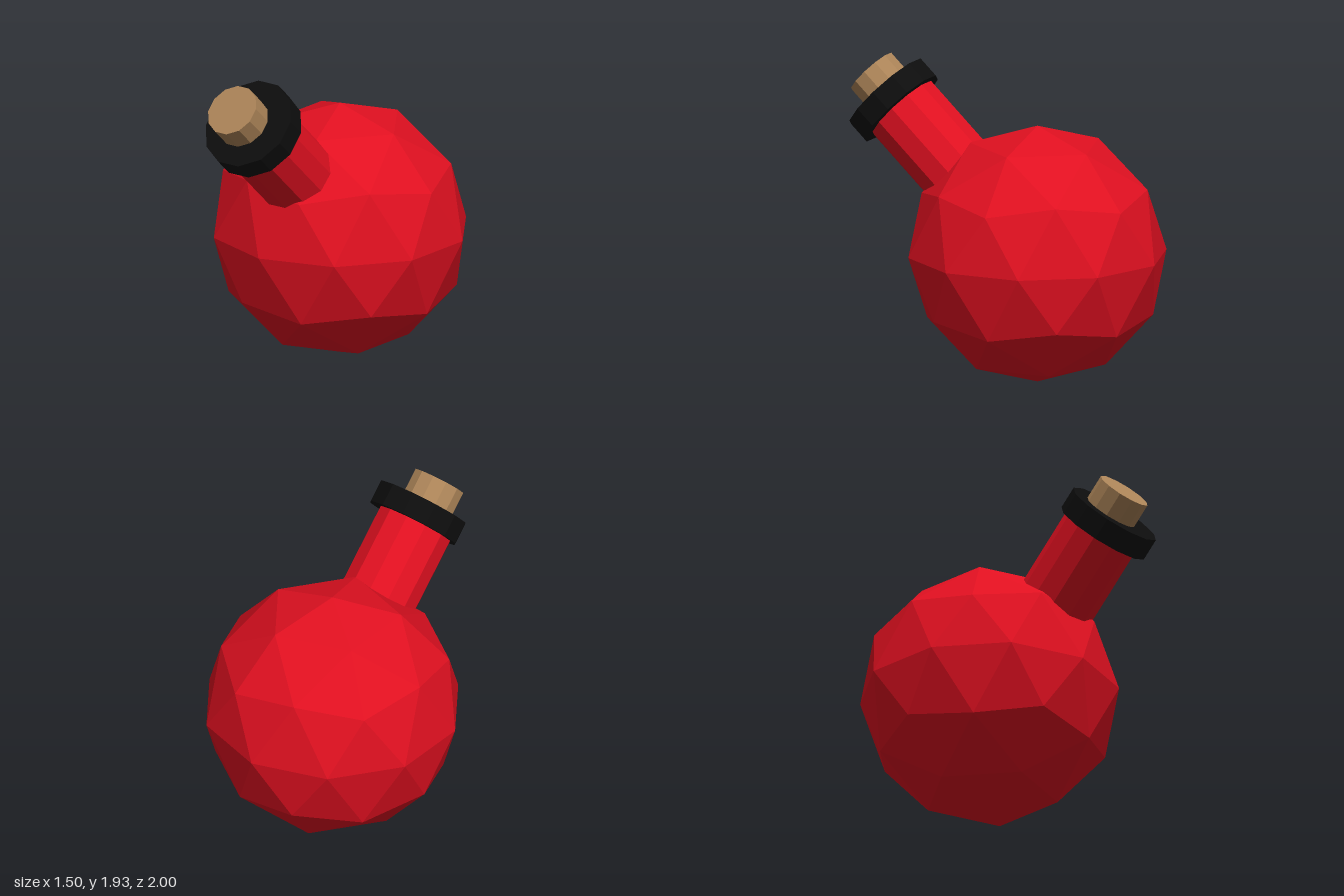
import * as THREE from 'three';

const material = (color) => new THREE.MeshStandardMaterial({ color, flatShading: true });

export function createModel() {
  const model = new THREE.Group();
  model.name = 'roundFlask';
  const glass = material(0xe01020);
  const radius = 0.79;

  // Faceted round body, turned so that one corner points straight up
  const bodyGeometry = new THREE.IcosahedronGeometry(radius, 1);
  bodyGeometry.rotateZ(-Math.atan(2 / (1 + Math.sqrt(5))));
  const body = new THREE.Mesh(bodyGeometry, glass);
  body.name = 'body';
  body.position.set(0, radius, -0.21);
  model.add(body);

  // Neck assembly leans forward, radiating from the body's centre
  const spout = new THREE.Group();
  spout.name = 'spout';
  spout.position.copy(body.position);
  spout.rotation.x = THREE.MathUtils.degToRad(46.9);
  model.add(spout);

  // Twelve-sided drum between two distances along the neck; flats face the sides
  const addDrum = (name, halfWidth, from, to, x, mat) => {
    const r = halfWidth / Math.cos(Math.PI / 12);
    const geometry = new THREE.CylinderGeometry(r, r, to - from, 12);
    geometry.rotateY(Math.PI / 12);
    const mesh = new THREE.Mesh(geometry, mat);
    mesh.name = name;
    mesh.position.set(x, (from + to) / 2, 0);
    spout.add(mesh);
  };
  addDrum('neck', 0.234, 0.55, 1.22, 0.057, glass);
  addDrum('rim', 0.285, 1.207, 1.347, 0.076, material(0x0d0d0d));
  addDrum('cork', 0.161, 1.25, 1.503, 0.042, material(0xac8458));

  return model;
}
